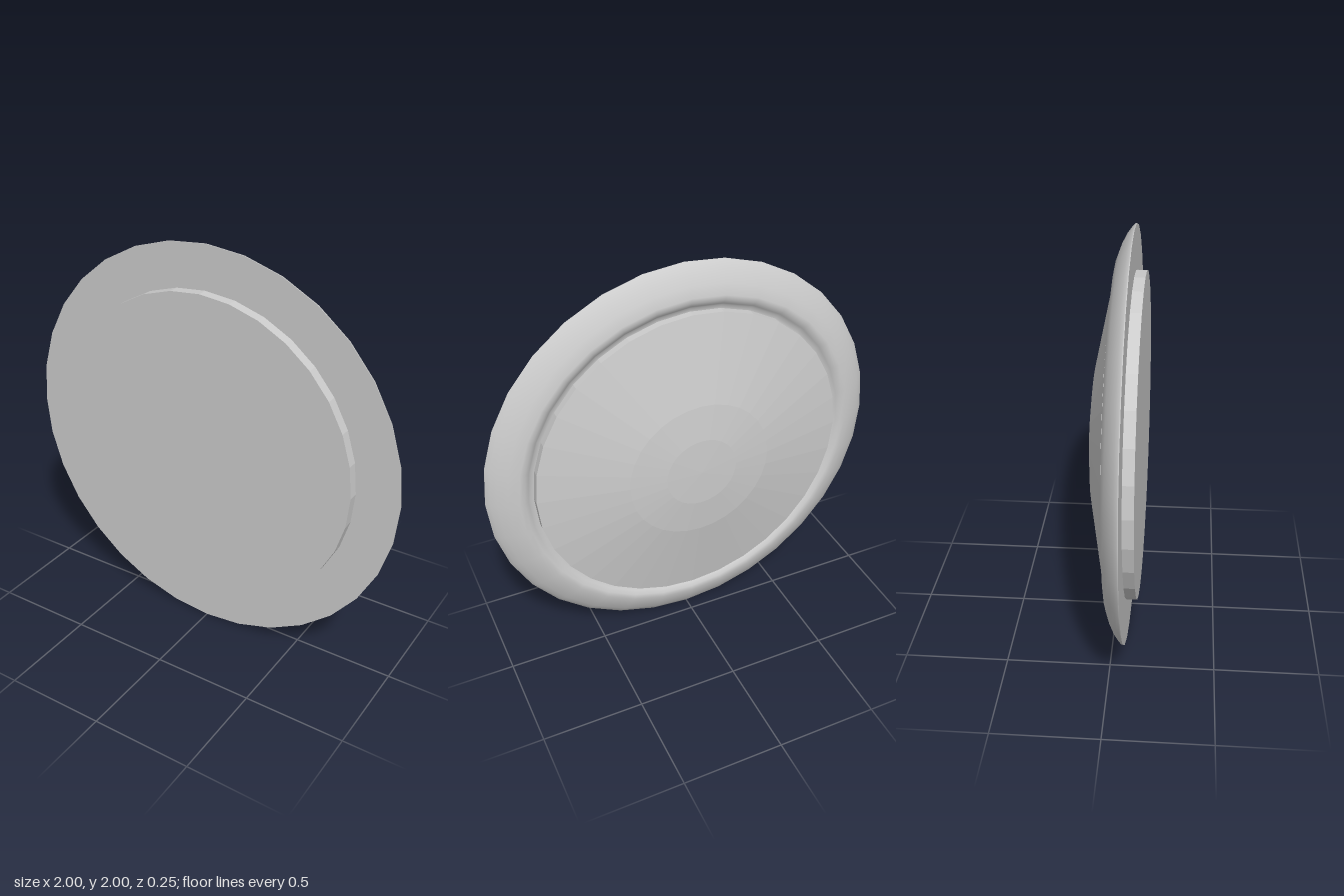
import * as THREE from 'three';

const SIDES = 32;

// Revolve [radius, z] points, running from back to front, around the z axis
function revolve(name, profile, flatShading) {
  const geometry = new THREE.LatheGeometry(profile.map(([r, z]) => new THREE.Vector2(r, z)), SIDES);
  geometry.rotateX(Math.PI / 2);
  const mesh = new THREE.Mesh(geometry, new THREE.MeshStandardMaterial({ color: 0xcccccc, flatShading }));
  mesh.name = name;
  mesh.position.y = 1;
  return mesh;
}

export function createModel() {
  const group = new THREE.Group();
  group.name = 'dish';

  // Smooth rounded rim that dips into a groove around the dome
  group.add(revolve('rim', [
    [0.785, 0.02], [0.803, 0.018], [0.815, 0.006], [0.835, -0.005], [0.86, -0.009],
    [0.91, 0.009], [0.955, 0.032], [0.982, 0.052], [1, 0.068], [1, 0.074],
  ], false));

  // Flat front of the rim
  group.add(revolve('rimFront', [[1, 0.074], [0.785, 0.074]], true));

  // Faceted shallow dome on the back, with its short side wall
  group.add(revolve('backDome', [
    [0, -0.125], [0.18, -0.121], [0.36, -0.102], [0.785, -0.016], [0.785, 0.02],
  ], true));

  // Raised flat disc on the front
  group.add(revolve('frontDisc', [[0.787, 0.074], [0.787, 0.125], [0, 0.125]], true));

  return group;
}
